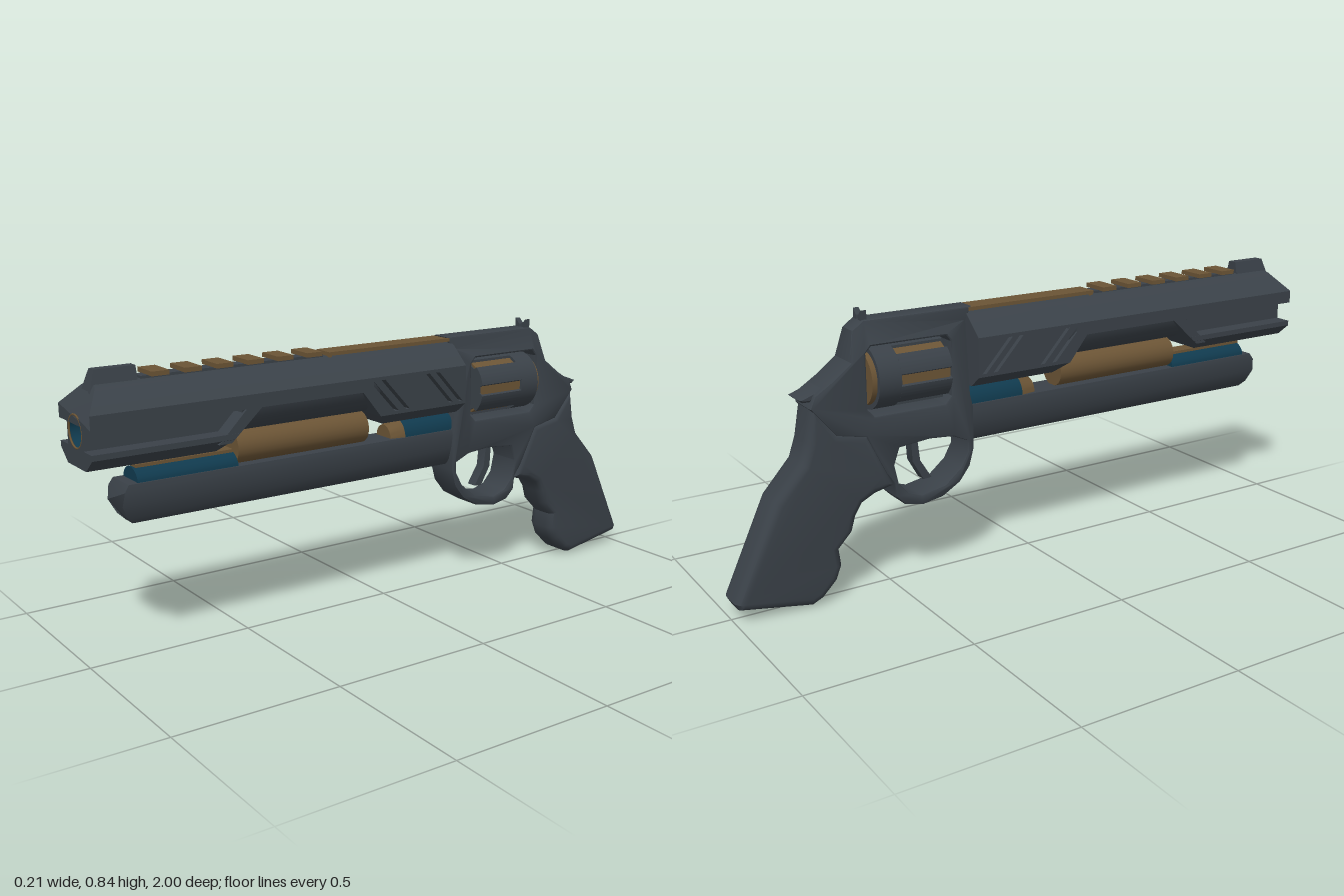
import * as THREE from 'three';
import { toCreasedNormals } from 'three/addons/utils/BufferGeometryUtils.js';

const mat = (name, color) => {
  const m = new THREE.MeshStandardMaterial({ color, side: THREE.DoubleSide });
  m.name = name;
  return m;
};

export function createModel() {
  const group = new THREE.Group();
  const steel = mat('dark steel', 0x3a4148);
  const bronze = mat('bronze', 0x6b5435);
  const teal = mat('deep teal', 0x103a4e);

  const add = (name, geo, material, x = 0, y = 0, z = 0) => {
    const m = new THREE.Mesh(geo, material);
    m.name = name;
    m.position.set(x, y, z);
    group.add(m);
    return m;
  };
  const shapeOf = (pts) => new THREE.Shape(pts.map((p) => new THREE.Vector2(...p)));
  const pathOf = (pts) => new THREE.Path(pts.map((p) => new THREE.Vector2(...p)));
  const box = (name, w, h, d, material, x, y, z) =>
    add(name, new THREE.BoxGeometry(w, h, d), material, x, y, z);

  // Move every vertex by a rule
  const bend = (geo, rule) => {
    const p = geo.attributes.position, v = new THREE.Vector3();
    for (let i = 0; i < p.count; i++) {
      rule(v.fromBufferAttribute(p, i));
      p.setXYZ(i, v.x, v.y, v.z);
    }
    return geo;
  };

  // Side profile in (z, y), extruded across x to the given half width
  const side = (shape, half, bevel = 0, inset = bevel, segments = 1, rule = null) => {
    const depth = 2 * (half - bevel);
    const geo = new THREE.ExtrudeGeometry(shape, {
      depth, bevelEnabled: bevel > 0, bevelThickness: bevel, bevelSize: inset,
      bevelOffset: -inset, bevelSegments: segments, curveSegments: 8,
    });
    geo.translate(0, 0, -depth / 2).rotateY(-Math.PI / 2);
    if (rule) bend(geo, rule);
    return toCreasedNormals(geo, 0.6);
  };

  // Cross-section in (x, y) given as its +x half from top to bottom, run from z0 to z1
  const mirrored = (half) => shapeOf([...half, ...half.map(([x, y]) => [-x, y]).reverse()]);
  const run = (shape, z0, z1, rule = null) => {
    const geo = new THREE.ExtrudeGeometry(shape, { depth: z1 - z0, bevelEnabled: false, curveSegments: 12 });
    geo.translate(0, 0, z0);
    if (rule) bend(geo, rule);
    return toCreasedNormals(geo, 0.5);
  };
  const bowl = (cy, rx, ry, dir) => {
    const pts = [];
    for (let i = 0; i <= 16; i++) {
      const a = (i / 16) * Math.PI * dir;
      pts.push([rx * Math.cos(a), cy + ry * Math.sin(a)]);
    }
    return shapeOf(pts);
  };

  // Barrel shroud: faceted roof along the full length
  add('shroudRoof', run(mirrored([[0.02, 0.805], [0.042, 0.797], [0.106, 0.74], [0.106, 0.7]]), 0.11, 1,
    (v) => { if (v.z > 0.9) v.z -= Math.max(0, v.y - 0.74) * 0.8; }), steel);
  add('shroudRearRoof', run(mirrored([[0.02, 0.805], [0.042, 0.797], [0.106, 0.74], [0.106, 0.735]]), -0.24, 0.11), steel);

  // Muzzle block with side grooves and a bored front
  const bore = new THREE.Path().absarc(0, 0.68, 0.046, 0, Math.PI * 2, true);
  const muzzle = mirrored([[0.106, 0.7], [0.052, 0.7], [0.052, 0.636], [0.106, 0.636], [0.106, 0.62], [0.062, 0.583]]);
  muzzle.holes.push(new THREE.Path().absarc(0, 0.68, 0.046, 0, Math.PI * 2, true));
  add('muzzleBlock', run(muzzle, 0.5, 1, (v) => { if (v.z < 0.6) v.z += Math.max(0, 0.7 - v.y); }), steel);
  const tube = new THREE.CylinderGeometry(0.045, 0.045, 0.12, 24, 1, true).rotateX(Math.PI / 2);
  add('boreLining', tube, teal, 0, 0.68, 0.938);
  add('boreEnd', new THREE.CircleGeometry(0.045, 24), teal, 0, 0.68, 0.9);
  add('muzzleRing', new THREE.TorusGeometry(0.046, 0.003, 6, 24), bronze, 0, 0.68, 1 - 0.002);
  add('grooveBrace', side(shapeOf([[0.48, 0.71], [0.53, 0.71], [0.63, 0.61], [0.59, 0.61]]), 0.105), steel);

  // Rounded middle of the shroud
  add('shroudBelly', run(bowl(0.74, 0.104, 0.12, -1), 0.08, 0.55), steel);

  // Slotted rear of the shroud
  const vented = shapeOf([[0.18, 0.74], [-0.24, 0.74], [-0.24, 0.62], [0.085, 0.62]]);
  for (const z of [0.125, 0.083, -0.084, -0.122])
    vented.holes.push(pathOf([[z, 0.73], [z - 0.092, 0.63], [z - 0.106, 0.63], [z - 0.014, 0.73]]));
  add('ventedShroud', side(vented, 0.106), steel);
  add('ventedShroudKeel', run(mirrored([[0.106, 0.621], [0.062, 0.585]]), -0.24, 0.085,
    (v) => { if (v.z > 0 && v.y < 0.6) v.z -= 0.035; }), steel);

  // Top rail with slats, strap and sights
  box('railBase', 0.045, 0.016, 0.58, steel, 0, 0.804, 0.525);
  for (let i = 0; i < 6; i++) box('railSlat', 0.09, 0.013, 0.052, bronze, 0, 0.818, 0.767 - i * 0.098);
  box('topStrap', 0.07, 0.011, 0.45, bronze, 0, 0.812, -0.005);
  box('strapFoot', 0.06, 0.018, 0.012, bronze, 0, 0.8, 0.214);
  add('frontSight', side(shapeOf([[0.965, 0.78], [0.945, 0.842], [0.825, 0.842], [0.825, 0.78]]), 0.03, 0, 0, 1,
    (v) => { if (v.y > 0.8) v.x *= 0.5; }), steel);
  for (const s of [-1, 1])
    add('rearSight', run(shapeOf([[s * 0.004, 0.81], [s * 0.024, 0.81], [s * 0.024, 0.847], [s * 0.006, 0.83]]), -0.573, -0.555), steel);

  // Under-barrel lug with rounded nose
  add('underLug', run(mirrored([[0.052, 0.525], [0.055, 0.505], [0.05, 0.465], [0.038, 0.425], [0.024, 0.407]]), -0.25, 0.9,
    (v) => { if (v.z > 0.5) v.z -= Math.pow((v.y - 0.475) / 0.06, 2) * 0.03; }), steel);

  // Rods lying on the lug
  add('frontRod', run(bowl(0.522, 0.047, 0.04, 1), 0.54, 0.85), teal);
  box('frontRodStrip', 0.05, 0.009, 0.3, bronze, 0, 0.566, 0.695);
  add('gasTube', new THREE.CylinderGeometry(0.05, 0.05, 0.45, 24).rotateX(Math.PI / 2), bronze, 0, 0.572, 0.315);
  add('rearRod', run(bowl(0.522, 0.047, 0.055, 1), -0.24, -0.05), teal);
  add('rearRodTip', run(bowl(0.522, 0.047, 0.055, 1), -0.05, 0,
    (v) => { if (v.z > -0.01) { v.x *= 0.8; v.y = 0.522 + (v.y - 0.522) * 0.75; } }), bronze);

  // Frame with cylinder window and trigger guard
  const frame = shapeOf([[-0.22, 0.82], [-0.57, 0.82], [-0.605, 0.795], [-0.622, 0.71], [-0.68, 0.665], [-0.735, 0.63],
    [-0.75, 0.595], [-0.675, 0.505], [-0.585, 0.485], [-0.525, 0.365], [-0.5, 0.33], [-0.495, 0.285], [-0.465, 0.255],
    [-0.41, 0.243], [-0.34, 0.255], [-0.28, 0.29], [-0.245, 0.335], [-0.23, 0.39], [-0.23, 0.52], [-0.24, 0.56], [-0.24, 0.78]]);
  frame.holes.push(pathOf([[-0.32, 0.748], [-0.56, 0.748], [-0.576, 0.73], [-0.576, 0.565], [-0.555, 0.543],
    [-0.325, 0.543], [-0.304, 0.565], [-0.304, 0.73]]));
  frame.holes.push(pathOf([[-0.25, 0.415], [-0.3, 0.437], [-0.38, 0.444], [-0.48, 0.435], [-0.498, 0.385], [-0.485, 0.325],
    [-0.455, 0.29], [-0.41, 0.275], [-0.33, 0.29], [-0.275, 0.335], [-0.25, 0.38]]));
  add('frame', side(frame, 0.057, 0.008, 0.006, 2, (v) => { if (v.y > 0.775) v.x *= 0.6; }), steel);

  // Trigger and hammer
  add('trigger', side(shapeOf([[-0.405, 0.46], [-0.425, 0.46], [-0.42, 0.37], [-0.385, 0.308], [-0.358, 0.31], [-0.395, 0.37]]), 0.018), steel);
  add('hammer', side(shapeOf([[-0.6, 0.73], [-0.63, 0.695], [-0.7, 0.65], [-0.777, 0.622], [-0.765, 0.612], [-0.7, 0.61]]), 0.04, 0.006), steel);

  // Fluted revolving cylinder
  const drum = new THREE.Group();
  drum.name = 'cylinder';
  drum.position.set(0, 0.647, -0.44);
  group.add(drum);
  const drumPart = (name, geo, material) => {
    const m = new THREE.Mesh(geo, material);
    m.name = name;
    drum.add(m);
    return m;
  };
  const outline = new THREE.Shape();
  const n = 6, r = 0.094;
  for (let i = 0; i < n; i++) {
    const a = (i / n) * Math.PI * 2;
    outline.absarc(0, 0, r, a + 0.19, a + Math.PI * 2 / n - 0.19, false);
    const b = a + Math.PI * 2 / n;
    outline.lineTo(0.079 * Math.cos(b - 0.12), 0.079 * Math.sin(b - 0.12));
    outline.lineTo(0.079 * Math.cos(b + 0.12), 0.079 * Math.sin(b + 0.12));
  }
  const fluted = new THREE.ExtrudeGeometry(outline, { depth: 0.165, bevelEnabled: false, curveSegments: 6 });
  drumPart('flutedBody', toCreasedNormals(fluted.translate(0, 0, -0.045), 0.5), steel);
  drumPart('rearBand', new THREE.CylinderGeometry(r, r, 0.07, 36).rotateX(Math.PI / 2), steel).position.z = -0.08;
  drumPart('rearRim', new THREE.CylinderGeometry(0.08, 0.08, 0.016, 36).rotateX(Math.PI / 2), bronze).position.z = -0.123;
  for (let i = 0; i < n; i++) {
    const a = (i / n) * Math.PI * 2;
    const inlay = drumPart('fluteInlay', new THREE.BoxGeometry(0.009, 0.028, 0.16), bronze);
    inlay.position.set(0.081 * Math.cos(a), 0.081 * Math.sin(a), 0.036);
    inlay.rotation.z = a;
  }
  drumPart('axlePin', new THREE.CylinderGeometry(0.02, 0.02, 0.28, 12).rotateX(Math.PI / 2), steel);

  // Grip with finger grooves
  const grip = shapeOf([[-0.745, 0.6], [-0.765, 0.5], [-0.785, 0.44], [-0.87, 0.345], [-1, 0.065], [-0.988, 0.043], [-0.77, 0.004],
    [-0.735, 0.02], [-0.69, 0.065], [-0.672, 0.11], [-0.678, 0.16], [-0.635, 0.205], [-0.622, 0.25], [-0.6, 0.285],
    [-0.56, 0.305], [-0.495, 0.32], [-0.515, 0.37], [-0.575, 0.495], [-0.67, 0.515]]);
  add('grip', side(grip, 0.06, 0.035, 0.026, 5), steel);

  return group;
}
